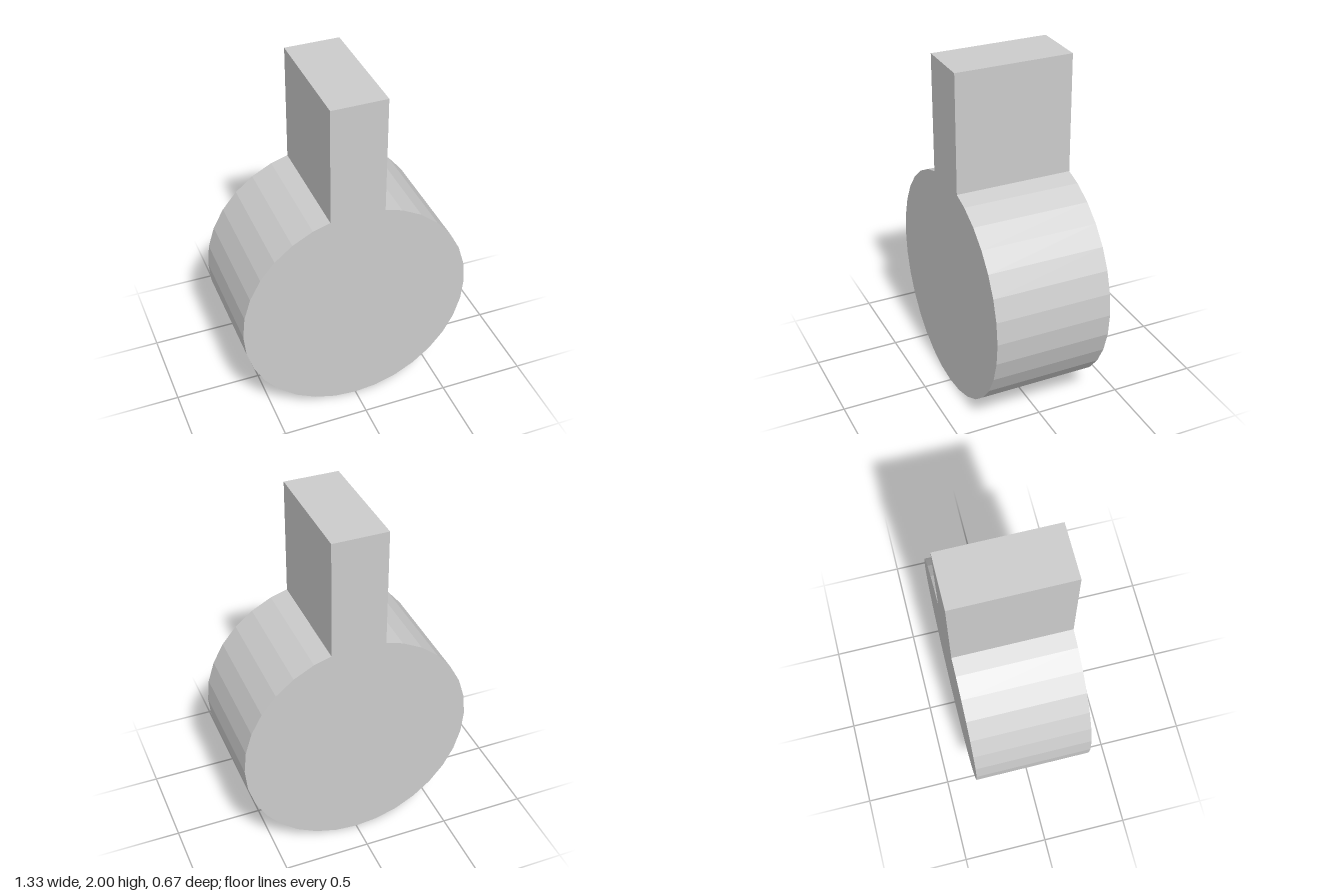
import * as THREE from 'three';

const RADIUS = 0.667;      // disc radius, also the height of its centre
const SIDES = 32;          // facets of the full disc
const STEM = 0.157;        // half width of the stem
const DEPTH = 0.674;

export function createModel() {
  const group = new THREE.Group();
  group.name = 'discWithStem';

  // Rim corners counter-clockwise from the left of the stem round to its right
  const step = (Math.PI * 2) / SIDES;
  const rim = [];
  for (let i = 2; i <= SIDES - 2; i++) {
    const a = i * step;
    rim.push(new THREE.Vector2(-RADIUS * Math.sin(a), RADIUS + RADIUS * Math.cos(a)));
  }

  // Height where the stem's sides meet the facet between rim corners 1 and 2
  const x1 = RADIUS * Math.sin(step), y1 = RADIUS + RADIUS * Math.cos(step);
  const x2 = -rim[0].x, y2 = rim[0].y;
  const joinY = y1 + ((STEM - x1) / (x2 - x1)) * (y2 - y1);

  // One closed outline: disc with the stem rising from its top
  const outline = new THREE.Shape([
    new THREE.Vector2(-STEM, joinY),
    ...rim,
    new THREE.Vector2(STEM, joinY),
    new THREE.Vector2(STEM, 2),
    new THREE.Vector2(-STEM, 2),
  ]);

  const geometry = new THREE.ExtrudeGeometry(outline, { depth: DEPTH, bevelEnabled: false });
  geometry.translate(0, 0, -DEPTH / 2);

  const body = new THREE.Mesh(
    geometry,
    new THREE.MeshStandardMaterial({ color: 0xcccccc, flatShading: true })
  );
  body.name = 'discAndStem';
  group.add(body);
  return group;
}
